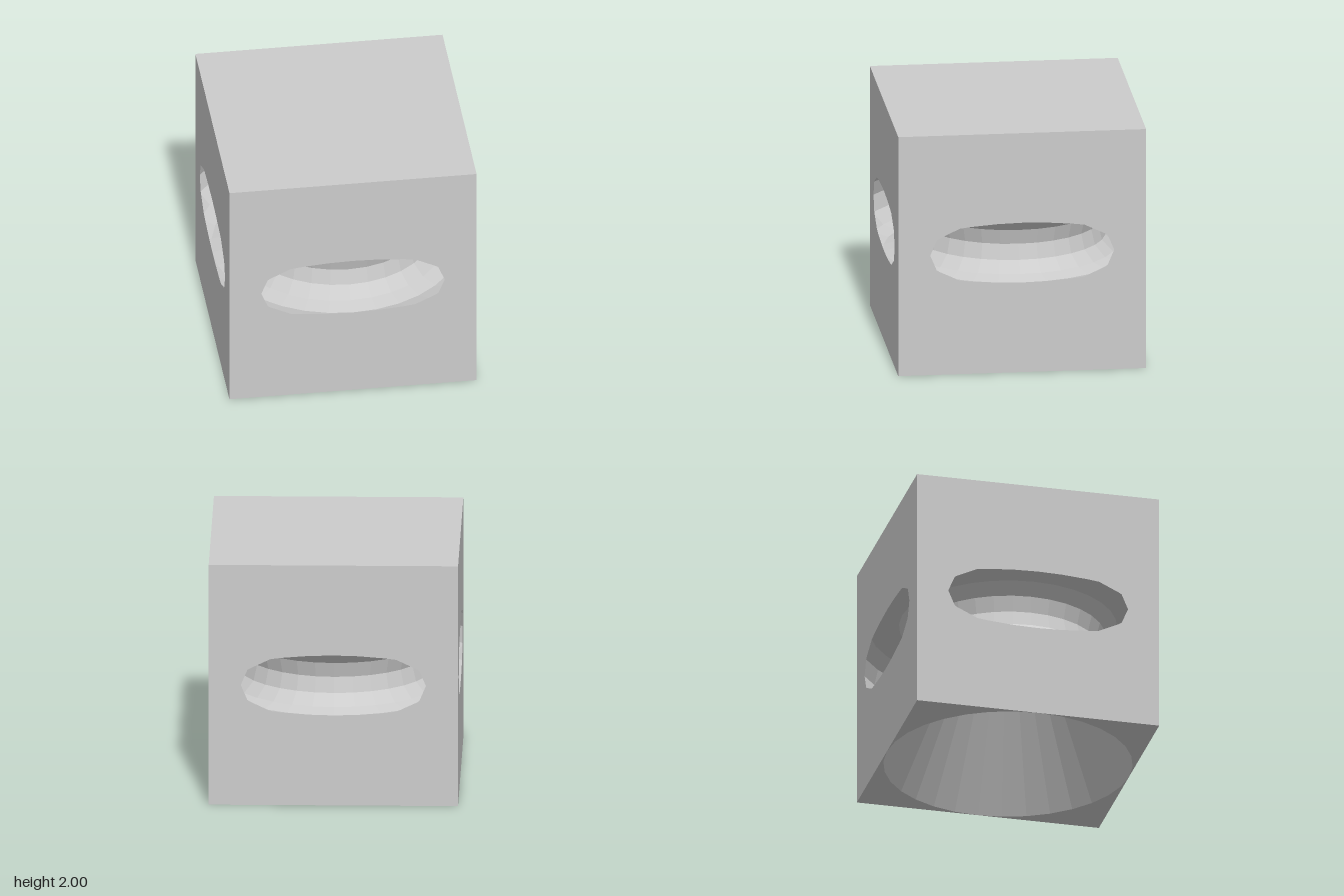
import * as THREE from 'three';

const SIDES = 32, TUBE_SIDES = 12, RING = 1, TUBE = 0.25, MID = 1;

// Keep the part of a polygon where axis * sign <= 1
function clip(poly, axis, sign) {
  const out = [];
  poly.forEach((a, i) => {
    const b = poly[(i + 1) % poly.length];
    const da = 1 - sign * a[axis], db = 1 - sign * b[axis];
    if (da >= -1e-9) out.push(a);
    if ((da > 1e-9 && db < -1e-9) || (da < -1e-9 && db > 1e-9)) {
      const p = a.clone().lerp(b, da / (da - db));
      p[axis] = sign;
      out.push(p);
    }
  });
  return out;
}

// Faceted ring channel, facing into the cavity and trimmed to the cube
function channelPolygons() {
  const point = (i, j) => {
    const a = (i / SIDES) * Math.PI * 2, t = (j / TUBE_SIDES) * Math.PI * 2;
    const r = RING + TUBE * Math.cos(t);
    return new THREE.Vector3(r * Math.sin(a), MID + TUBE * Math.sin(t), r * Math.cos(a));
  };
  const polys = [];
  for (let i = 0; i < SIDES; i++) {
    for (let j = 0; j < TUBE_SIDES; j++) {
      let poly = [point(i, j), point(i, j + 1), point(i + 1, j + 1), point(i + 1, j)];
      for (const axis of ['x', 'z']) for (const sign of [1, -1]) poly = clip(poly, axis, sign);
      if (poly.length > 2) polys.push(poly);
    }
  }
  return polys;
}

// Outline of the channel's opening in the front face, ordered around its centre
function openingOutline(polys) {
  const pts = polys.flat().filter((p) => Math.abs(p.z - 1) < 1e-6);
  const angle = (p) => Math.atan2(p.y - MID, p.x);
  pts.sort((a, b) => angle(a) - angle(b));
  const unique = pts.filter((p, i) => i === 0 || p.distanceTo(pts[i - 1]) > 1e-4);
  if (unique[0].distanceTo(unique[unique.length - 1]) < 1e-4) unique.pop();
  return unique.map((p) => new THREE.Vector2(p.x, p.y));
}

export function createModel() {
  const group = new THREE.Group();
  const grey = new THREE.MeshStandardMaterial({ color: 0xcccccc });
  grey.name = 'plain grey';
  const add = (name, geometry) => {
    const mesh = new THREE.Mesh(geometry, grey);
    mesh.name = name;
    group.add(mesh);
    return mesh;
  };

  // Ring channel
  const polys = channelPolygons();
  const positions = [];
  for (const p of polys) {
    for (let k = 1; k < p.length - 1; k++) {
      for (const v of [p[0], p[k], p[k + 1]]) positions.push(v.x, v.y, v.z);
    }
  }
  const channel = new THREE.BufferGeometry();
  channel.setAttribute('position', new THREE.Float32BufferAttribute(positions, 3));
  channel.computeVertexNormals();
  add('ringChannel', channel);

  // Four side walls with the channel opening
  const wall = new THREE.Shape([[-1, 0], [1, 0], [1, 2], [-1, 2]].map(([x, y]) => new THREE.Vector2(x, y)));
  wall.holes.push(new THREE.Path(openingOutline(polys)));
  const wallGeometry = new THREE.ShapeGeometry(wall).translate(0, 0, 1);
  ['frontWall', 'leftWall', 'backWall', 'rightWall'].forEach((name, i) => {
    add(name, wallGeometry).rotation.y = (i * Math.PI) / 2;
  });

  // Top
  add('topFace', new THREE.PlaneGeometry(2, 2).rotateX(-Math.PI / 2).translate(0, 2, 0));

  // Underside: four corners left around the round opening
  const corner = [new THREE.Vector2(1, 1)];
  for (let k = SIDES / 4; k >= 0; k--) {
    const a = (k / SIDES) * Math.PI * 2;
    corner.push(new THREE.Vector2(Math.cos(a), Math.sin(a)));
  }
  const cornerGeometry = new THREE.ShapeGeometry(new THREE.Shape(corner)).rotateX(Math.PI / 2);
  for (let i = 0; i < 4; i++) add('bottomCorner' + (i + 1), cornerGeometry).rotation.y = (i * Math.PI) / 2;

  // Conical hollow, mirrored so that its faces look inward
  const cone = new THREE.ConeGeometry(1, 2, SIDES, 1, true).scale(-1, 1, 1).translate(0, 1, 0).toNonIndexed();
  cone.computeVertexNormals();
  add('conicalHollow', cone);

  return group;
}
